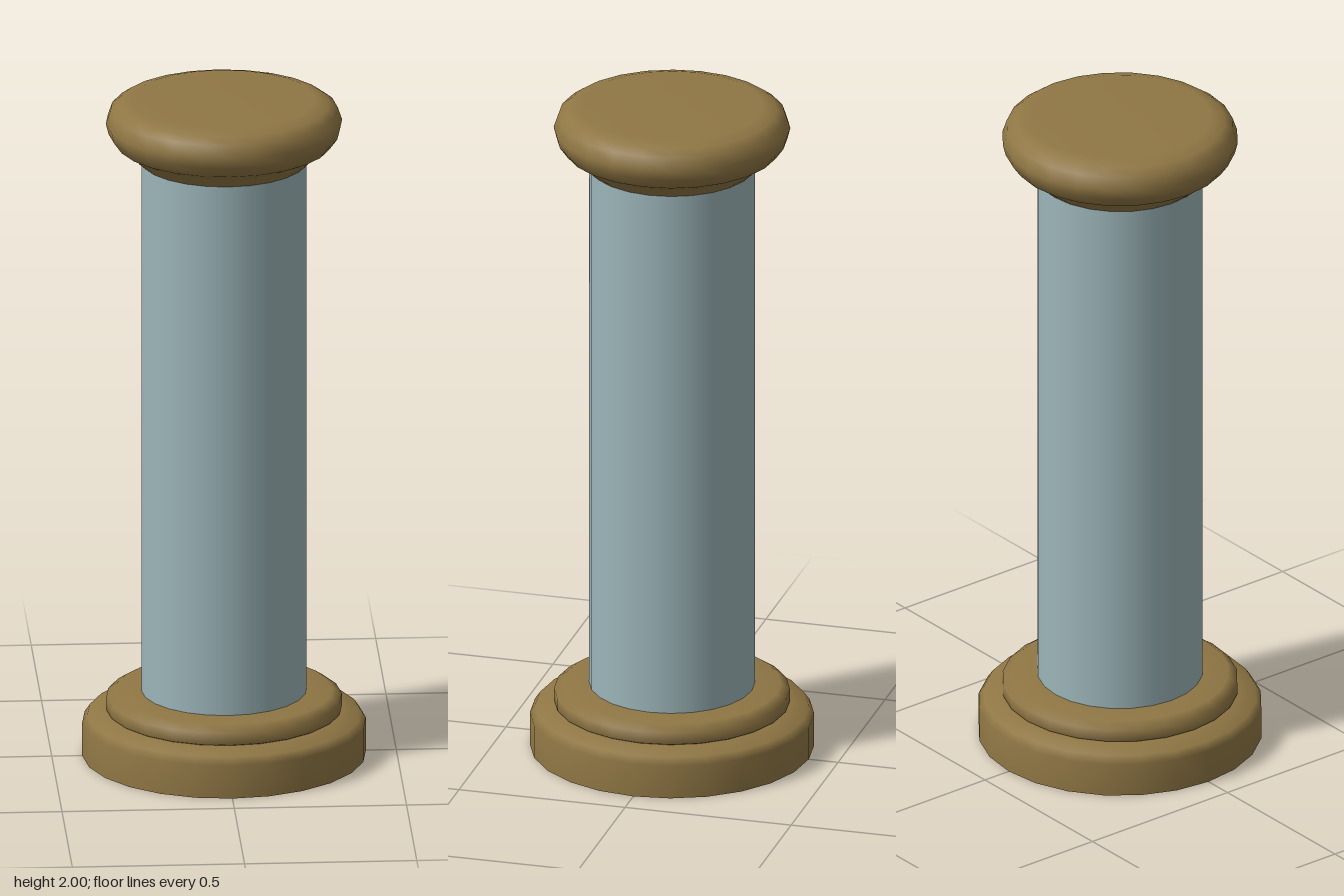
import * as THREE from 'three';

const SIDES = 24;

export function createModel() {
  const bronze = new THREE.MeshStandardMaterial({ color: 0x8f7644 });
  bronze.name = 'bronze';
  const stone = new THREE.MeshStandardMaterial({ color: 0x9cb5b9 });
  stone.name = 'paleBlueStone';

  const column = new THREE.Group();
  column.name = 'column';

  // Turned part from a bottom-to-top profile of [radius, height] pairs
  function turned(name, material, profile) {
    const points = profile.map(([r, y]) => new THREE.Vector2(r, y));
    const mesh = new THREE.Mesh(new THREE.LatheGeometry(points, SIDES), material);
    mesh.name = name;
    column.add(mesh);
  }

  // Base: flat underside, wide plinth with a rounded shoulder, smaller ring on top
  turned('baseUnderside', bronze, [[0, 0], [0.412, 0]]);
  turned('basePlinth', bronze, [[0.412, 0], [0.412, 0.1], [0.397, 0.122], [0.345, 0.135], [0.33, 0.136]]);
  turned('baseRing', bronze, [[0.33, 0.133], [0.342, 0.14], [0.342, 0.176], [0.315, 0.194], [0.22, 0.196]]);

  // Plain round shaft
  turned('shaft', stone, [[0.24, 0.19], [0.24, 1.82]]);

  // Capital: flared neck below a cushion with a smooth, flat top
  turned('capitalUnderside', bronze, [[0, 1.814], [0.242, 1.814]]);
  turned('capitalNeck', bronze, [[0.242, 1.814], [0.258, 1.828], [0.273, 1.85], [0.3, 1.862]]);
  turned('capitalCushion', bronze, [
    [0.273, 1.85], [0.312, 1.868], [0.335, 1.9], [0.343, 1.932],
    [0.33, 1.97], [0.305, 1.988], [0.265, 2], [0, 2],
  ]);

  return column;
}
